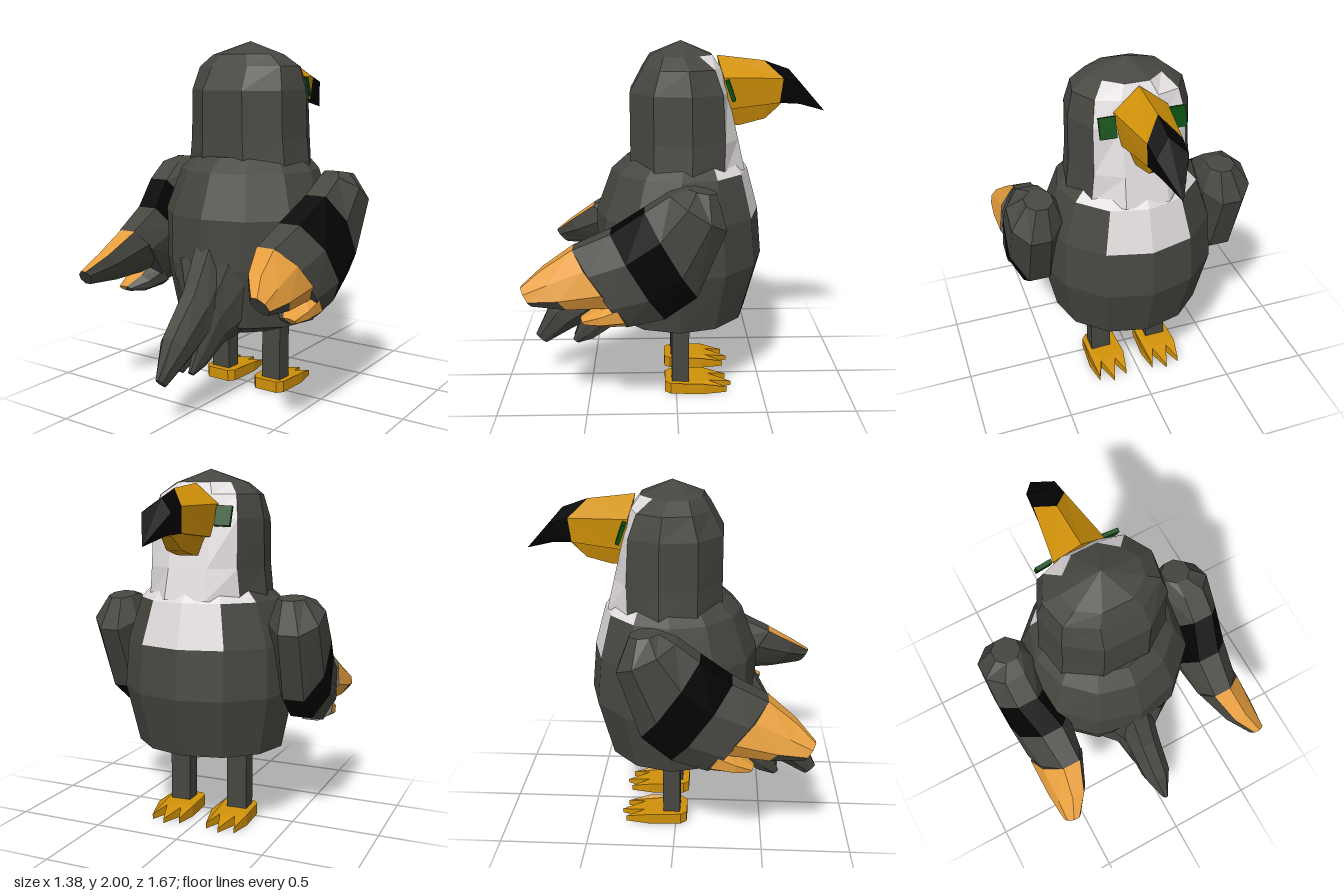
import * as THREE from 'three';

const mat = (name, color) => {
  const m = new THREE.MeshStandardMaterial({ color, flatShading: true });
  m.name = name;
  return m;
};

export function createModel() {
  const M = {
    grey: mat('plumageGrey', 0x464741), black: mat('black', 0x030303),
    white: mat('faceWhite', 0xe1dcdd), gold: mat('beakGold', 0xd09108),
    tan: mat('featherTan', 0xe59d3c), green: mat('eyeGreen', 0x064c0c),
  };
  const root = new THREE.Group();
  root.name = 'bird';

  // Closed skin over rings of points; paint(ring, segment) picks the colour of each quad
  function loft(parent, name, rings, paint, apex) {
    const n = rings[0].length, tris = [];
    const centre = (r) => r.reduce((a, p) => a.add(p), new THREE.Vector3()).divideScalar(n);
    for (let i = 0; i < rings.length - 1; i++)
      for (let k = 0; k < n; k++) {
        const l = (k + 1) % n, a = rings[i][k], b = rings[i][l], c = rings[i + 1][l], d = rings[i + 1][k];
        tris.push([paint(i, k), a, b, c], [paint(i, k), a, c, d]);
      }
    const last = rings.length - 1, c0 = centre(rings[0]), c1 = apex || centre(rings[last]);
    for (let k = 0; k < n; k++) {
      const l = (k + 1) % n;
      tris.push([paint(-1, k), rings[0][l], rings[0][k], c0]);
      tris.push([paint(last, k), rings[last][k], rings[last][l], c1]);
    }
    // Turn the whole skin outward
    let volume = 0;
    const cross = new THREE.Vector3();
    for (const [, a, b, c] of tris) volume += a.dot(cross.crossVectors(b, c));
    const byColour = {};
    for (const [key, a, b, c] of tris) {
      const out = (byColour[key] ||= []);
      for (const p of volume > 0 ? [a, b, c] : [a, c, b]) out.push(p.x, p.y, p.z);
    }
    const group = new THREE.Group();
    group.name = name;
    for (const key in byColour) {
      const g = new THREE.BufferGeometry();
      g.setAttribute('position', new THREE.Float32BufferAttribute(byColour[key], 3));
      g.computeVertexNormals();
      const mesh = new THREE.Mesh(g, M[key]);
      mesh.name = name + '_' + key;
      group.add(mesh);
    }
    parent.add(group);
  }
  const V = (x, y, z) => new THREE.Vector3(x, y, z);

  // Body: twelve-sided barrel with a white bib [y, half width, back z, front z]
  const bodyRings = [
    [0.39, 0.25, 0.28, -0.22], [0.45, 0.43, 0.38, -0.41], [0.78, 0.5, 0.45, -0.5],
    [1.05, 0.485, 0.45, -0.475], [1.29, 0.4, 0.36, -0.41], [1.37, 0.32, 0.27, -0.35],
  ].map(([y, rx, zb, zf]) => Array.from({ length: 12 }, (_, k) => {
    const a = k * Math.PI / 6;
    return V(rx * Math.sin(a), y, (zb + zf) / 2 + (zb - zf) / 2 * Math.cos(a));
  }));
  loft(root, 'body', bodyRings, (i, k) =>
    ((i === 3 && (k === 5 || k === 6)) || (i === 4 && k >= 4 && k <= 7) ? 'white' : 'grey'));

  // Head: ten-sided hood with a white face [y, width scale, back z, cheek z, front z]
  const headRings = [
    [1.3, 1.08, 0.25, -0.26, -0.385], [1.47, 1.02, 0.25, -0.265, -0.345], [1.73, 1, 0.25, -0.25, -0.285],
    [1.86, 0.9, 0.18, -0.205, -0.245], [1.925, 0.64, 0.14, -0.125, -0.2],
  ].map(([y, s, back, cheek, front]) => {
    const half = [[0.13, back], [0.3, back * 0.48], [0.335, cheek * 0.32], [0.25, cheek], [0.11, front]];
    return [...half, ...half.map(([x, z]) => [-x, z]).reverse()].map(([x, z]) => V(x * s, y, z));
  });
  loft(root, 'head', headRings, (i, k) => (i >= 0 && i < 4 && k >= 3 && k <= 5 ? 'white' : 'grey'), V(0, 2, -0.03));

  // Beak: ridge point, upper corners, lower corners
  const beakRing = (top, side, low) => [
    V(0, ...top), V(...side), V(...low), V(-low[0], low[1], low[2]), V(-side[0], side[1], side[2]),
  ];
  loft(root, 'upperBeak', [
    beakRing([1.92, -0.23], [0.145, 1.81, -0.26], [0.12, 1.635, -0.28]),
    beakRing([1.89, -0.49], [0.09, 1.8, -0.59], [0.08, 1.665, -0.575]),
    beakRing([1.842, -0.63], [0.082, 1.77, -0.69], [0.05, 1.655, -0.69]),
  ], (i) => (i < 1 ? 'gold' : 'black'), V(0, 1.61, -0.838));
  const jawRing = (w, top, bottom, z) => [V(w, top, z), V(w * 0.6, bottom, z), V(-w * 0.6, bottom, z), V(-w, top, z)];
  loft(root, 'lowerBeak', [
    jawRing(0.1, 1.66, 1.54, -0.27), jawRing(0.09, 1.67, 1.54, -0.36),
    jawRing(0.075, 1.68, 1.575, -0.5), jawRing(0.05, 1.68, 1.65, -0.585),
  ], () => 'gold');

  // Eight-sided section between an upper and a lower point [z, y], spanning x0..x1;
  // lean moves the upper edge inward and the lower edge outward
  const section = (s, U, L, x0, x1, lean = 0) => Array.from({ length: 8 }, (_, k) => {
    const a = (k + 0.5) * Math.PI / 4, c = Math.cos(a) * 0.541, q = Math.sin(a) * 0.541;
    return V(s * ((x0 + x1) / 2 + q * (x1 - x0) - lean * c),
      (U[1] + L[1]) / 2 + c * (U[1] - L[1]), (U[0] + L[0]) / 2 + c * (U[0] - L[0]));
  });

  for (const s of [1, -1]) {
    const side = s > 0 ? 'left' : 'right';

    // Wing with a black band and two tan-backed feathers
    const wing = new THREE.Group();
    wing.name = side + 'WingGroup';
    root.add(wing);
    loft(wing, side + 'Wing', [
      section(s, [-0.05, 1.3], [-0.2, 1.27], 0.45, 0.6),
      section(s, [0.04, 1.275], [-0.25, 1.09], 0.41, 0.69),
      section(s, [0.17, 1.19], [-0.1, 0.73], 0.4, 0.69),
      section(s, [0.35, 1.06], [0.07, 0.61], 0.365, 0.67, 0.05),
      section(s, [0.55, 0.97], [0.27, 0.57], 0.395, 0.645, 0.08),
    ], (i) => (i === 2 ? 'black' : 'grey'));
    loft(wing, side + 'UpperFeather', [
      section(s, [0.55, 0.97], [0.33, 0.68], 0.395, 0.645, 0.09),
      section(s, [0.71, 0.87], [0.58, 0.68], 0.47, 0.645, 0.08),
      section(s, [0.815, 0.79], [0.76, 0.7], 0.555, 0.64, 0.03),
    ], (i, k) => ((i >= 0 && i < 2 && (k === 7 || k < 2)) || (i === 0 && k === 2) ? 'tan' : 'grey'));
    loft(wing, side + 'LowerFeather', [
      section(s, [0.34, 0.72], [0.25, 0.565], 0.43, 0.655),
      section(s, [0.42, 0.665], [0.4, 0.565], 0.46, 0.645),
      section(s, [0.51, 0.615], [0.48, 0.58], 0.53, 0.62),
    ], (i, k) => (i >= 0 && (k === 7 || k < 3) ? 'tan' : 'grey'));
    // The right wing hangs slightly steeper and further forward
    if (s < 0) {
      wing.rotation.x = 0.08;
      wing.position.set(0, 0.025, -0.122);
    }

    // Side tail feather, flaring where it meets the body
    loft(root, side + 'TailFeather', [
      section(s, [0.42, 0.82], [0.27, 0.42], 0, 0.23),
      section(s, [0.47, 0.6], [0.36, 0.36], 0.01, 0.12),
      section(s, [0.56, 0.38], [0.49, 0.26], 0.01, 0.08),
      section(s, [0.61, 0.25], [0.58, 0.225], 0.02, 0.05),
    ], () => 'grey');

    // Leg
    const leg = new THREE.Mesh(new THREE.BoxGeometry(0.12, 0.39, 0.1), M.grey);
    leg.name = side + 'Leg';
    leg.position.set(s * 0.18, 0.245, -0.025);
    root.add(leg);

    // Foot with three toes, thinning toward the tips
    const outline = [[-0.07, -0.065], [0.07, -0.065], [0.1, -0.03], [0.11, 0.16], [0.085, 0.295], [0.045, 0.19],
      [0.0, 0.325], [-0.045, 0.19], [-0.085, 0.295], [-0.11, 0.16], [-0.1, -0.03]];
    const footGeo = new THREE.ExtrudeGeometry(
      new THREE.Shape(outline.map((p) => new THREE.Vector2(...p))), { depth: 0.065, bevelEnabled: false });
    footGeo.rotateX(-Math.PI / 2);
    const pos = footGeo.attributes.position;
    for (let i = 0; i < pos.count; i++) {
      const z = pos.getZ(i);
      if (z < -0.15) pos.setY(i, pos.getY(i) * (1 + (z + 0.15) * 3.5));
    }
    footGeo.computeVertexNormals();
    const foot = new THREE.Mesh(footGeo, M.gold);
    foot.name = side + 'Foot';
    foot.position.x = s * 0.17;
    root.add(foot);

    // Eye
    const eye = new THREE.Mesh(new THREE.BoxGeometry(0.088, 0.11, 0.022), M.green);
    eye.name = side + 'Eye';
    eye.position.set(s * 0.188, 1.747, -0.293);
    eye.rotation.set(0.35, -s * 0.08, 0);
    root.add(eye);
  }

  // Central tail feather
  loft(root, 'tail', [
    section(1, [0.43, 0.91], [0.28, 0.45], -0.11, 0.11),
    section(1, [0.56, 0.67], [0.42, 0.42], -0.095, 0.095),
    section(1, [0.74, 0.47], [0.61, 0.32], -0.08, 0.08),
    section(1, [0.835, 0.27], [0.775, 0.215], -0.02, 0.02),
  ], () => 'grey');

  return root;
}
